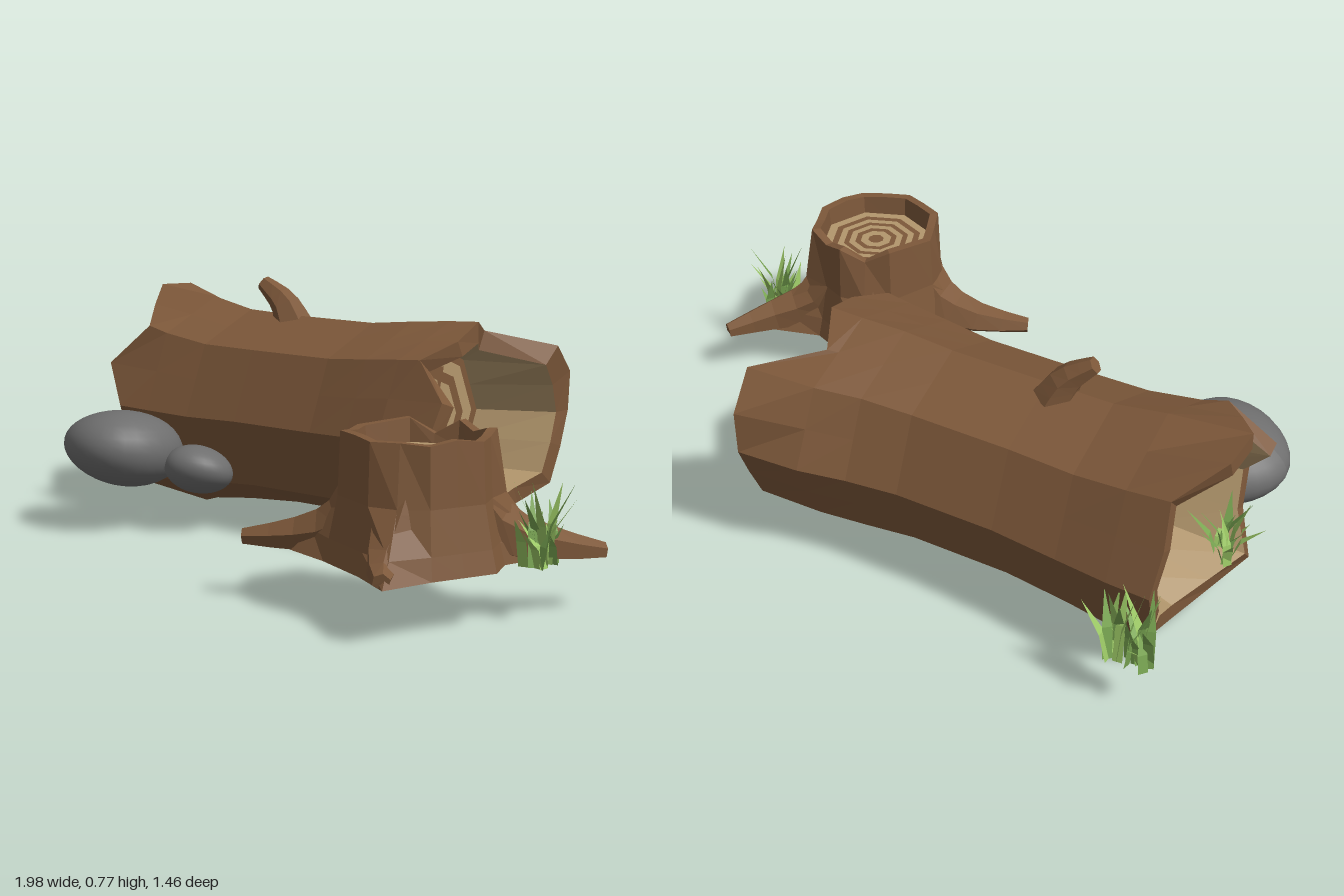
import * as THREE from 'three';
import { mergeGeometries } from 'three/addons/utils/BufferGeometryUtils.js';

const mat = (name, color, side = THREE.FrontSide) => {
  const m = new THREE.MeshStandardMaterial({ color, side });
  m.name = name;
  return m;
};

function flat(geo) {
  const g = geo.index ? geo.toNonIndexed() : geo;
  g.computeVertexNormals();
  return g;
}

// Skin a list of closed point loops
function loft(rows) {
  const n = rows[0].length, pos = [], index = [];
  rows.forEach(r => r.forEach(p => pos.push(...p)));
  for (let i = 0; i < rows.length - 1; i++) {
    for (let k = 0; k < n; k++) {
      const a = i * n + k, b = i * n + (k + 1) % n;
      index.push(a, b, a + n, b, b + n, a + n);
    }
  }
  const g = new THREE.BufferGeometry();
  g.setAttribute('position', new THREE.Float32BufferAttribute(pos, 3));
  g.setIndex(index);
  return flat(g);
}

// Eight-sided outline given as corners and edge midpoints
const octagon = Array.from({ length: 16 }, (_, k) => {
  const a = k * Math.PI / 8, r = k % 2 ? Math.cos(Math.PI / 8) : 1;
  return [Math.cos(a) * r, Math.sin(a) * r];
});

// Tapered bent limb with a blunt end, optionally flattened on the ground
function limb(points, r0, r1, floor = -1) {
  const curve = new THREE.CatmullRomCurve3(points.map(p => new THREE.Vector3(...p)));
  const segs = 6, sides = 6;
  const g = new THREE.TubeGeometry(curve, segs, 1, sides);
  const pos = g.attributes.position, v = new THREE.Vector3();
  for (let i = 0; i <= segs; i++) {
    const c = curve.getPointAt(i / segs), t = Math.min(1, i / (segs - 1));
    const centre = curve.getPointAt(t);
    const r = i === segs ? 0 : r0 + (r1 - r0) * t;
    for (let j = 0; j <= sides; j++) {
      const id = i * (sides + 1) + j;
      v.fromBufferAttribute(pos, id).sub(c).multiplyScalar(r).add(centre);
      pos.setXYZ(id, v.x, Math.max(v.y, floor), v.z);
    }
  }
  return flat(g);
}

export function createModel() {
  const model = new THREE.Group();
  const bark = mat('bark brown', 0x7d583a);
  const pale = mat('pale wood', 0xb3976d);
  const stone = mat('stone grey', 0x6e6e6e);
  const greens = [mat('light grass', 0x9ac664, THREE.DoubleSide), mat('mid grass', 0x7ba853, THREE.DoubleSide)];

  const add = (parent, name, geo, material) => {
    const m = new THREE.Mesh(geo, material);
    m.name = name;
    parent.add(m);
    return m;
  };
  const group = name => {
    const g = new THREE.Group();
    g.name = name;
    model.add(g);
    return g;
  };

  // Growth rings, alternating two colours outward to inward
  function growthRings(parent, name, radii, first, place) {
    radii.forEach((r, i) => {
      const g = new THREE.RingGeometry(radii[i + 1] ?? 0, r, 8, 1);
      place(add(parent, name, g, (i + first) % 2 ? pale : bark));
    });
  }

  // Fallen log: section = [x or list of x, centre y, centre z, radius y, radius z, bulges by column]
  const log = group('fallenLog');
  const section = ([x, cy, cz, ry, rz, bulge = {}], s = 1) => octagon.map(([c, d], k) => {
    const f = s * (bulge[k] ?? 1);
    return [Array.isArray(x) ? x[k] : x, cy + ry * f * c, cz + rz * f * d];
  });
  const leftEdge = [-1, -0.92, -0.83, -0.96, -0.87, -0.88, -0.93, -0.87, -0.81, -0.82, -0.85, -0.88, -0.89, -0.9, -0.89, -1];
  const rightEdge = [0.28, 0.3, 0.26, 0.38, 0.37, 0.34, 0.33, 0.31, 0.33, 0.34, 0.37, 0.37, 0.36, 0.37, 0.39, 0.21];
  const leftRim = [leftEdge, 0.36, -0.29, 0.355, 0.335, { 15: 1.15 }];
  const rightRim = [rightEdge, 0.385, -0.305, 0.3, 0.368, { 13: 1.15 }];
  const rightLip = section([rightEdge, 0.385, -0.305, 0.3, 0.368, { 13: 1.03, 14: 0.92, 15: 0.95, 0: 0.96 }], 0.82);
  const leftLip = section(leftRim, 0.86);
  const body = [
    [-0.76, 0.355, -0.29, 0.335, 0.325],
    [-0.6, 0.35, -0.285, 0.31, 0.31],
    [-0.4, 0.355, -0.28, 0.3, 0.3],
    [-0.1, 0.355, -0.28, 0.3, 0.3],
    [0.05, 0.36, -0.285, 0.31, 0.32],
    [0.18, 0.375, -0.3, 0.305, 0.35],
  ];
  add(log, 'logBark', loft([leftLip, section(leftRim),
    ...body.map(b => section(b)), section(rightRim), rightLip]), bark);
  add(log, 'leftHollow', loft([section([-0.68, 0.355, -0.29, 0.25, 0.25]), leftLip]), pale);
  add(log, 'rightHollow', loft([rightLip, section([0.1, 0.375, -0.3, 0.23, 0.245])]), pale);
  const logRings = [0.26, 0.215, 0.17, 0.135, 0.1, 0.08];
  growthRings(log, 'rightGrowthRing', logRings, 0, m => {
    m.rotation.y = Math.PI / 2;
    m.position.set(0.105, 0.378, -0.303);
    m.scale.y = 0.94;
  });
  growthRings(log, 'leftGrowthRing', logRings, 0, m => {
    m.rotation.y = -Math.PI / 2;
    m.position.set(-0.685, 0.355, -0.29);
  });
  // Dark split in the cut face
  const split = new THREE.Shape([[-0.025, 0.08], [0, 0], [0.022, 0.075]].map(p => new THREE.Vector2(...p)));
  const splitMesh = add(log, 'splitInWood', new THREE.ShapeGeometry(split), bark);
  splitMesh.rotation.y = Math.PI / 2;
  splitMesh.position.set(0.109, 0.455, -0.345);
  add(log, 'branchStub', limb([[-0.425, 0.62, -0.29], [-0.46, 0.69, -0.285], [-0.535, 0.752, -0.27]], 0.062, 0.024), bark);

  // Stump with a hollowed, chipped top and a foot flaring into each root
  const stump = group('stump');
  stump.position.set(0.61, 0, 0.42);
  const rootColumns = [2, 5, 9, 13];
  const ring = (y, r, flare = 0) => octagon.map(([c, s], k) => {
    const f = r + (rootColumns.includes(k) ? flare : 0);
    return [c * f, Array.isArray(y) ? y[k] : y, -s * f];
  });
  const chips = [0.49, 0.49, 0.5, 0.48, 0.5, 0.46, 0.5, 0.495, 0.49, 0.49, 0.5, 0.5, 0.495, 0.495, 0.49, 0.5];
  add(stump, 'stumpBark', loft([ring(0.155, 0), ring(0.155, 0.25, 0.13), ring(0.215, 0.235, 0.08), ring(0.33, 0.212, 0.02),
    ring(chips, 0.205), ring(chips, 0.178), ring(0.43, 0.172)]), bark);
  growthRings(stump, 'stumpGrowthRing', [0.178, 0.145, 0.125, 0.105, 0.088, 0.068, 0.05, 0.025], 1, m => {
    m.rotation.x = -Math.PI / 2;
    m.position.y = 0.435;
  });

  // Roots: tip x, tip z, tip y
  [[-0.475, 0.155, 0.175], [0.12, 0.31, 0.172], [0.35, -0.35, 0.165], [-0.155, -0.36, 0.175]].forEach(([x, z, y]) => {
    const d = Math.hypot(x, z), at = (r, h, bend = 0) => [x / d * r - z / d * bend, h, z / d * r + x / d * bend];
    add(stump, 'root', limb([at(0.13, 0.3), at(0.2, 0.23, 0.01),
      at(0.2 + (d - 0.2) * 0.45, 0.19, 0.02), at(d, y)], 0.1, 0.024, 0.153), bark);
  });

  // Rocks: egg-shaped, narrowing toward one side and raised toward the front
  const rocks = group('rocks');
  [[-0.745, 0.257, 0.17, 0.19, 0.118, 0.182, 0.16], [-0.505, 0.2, 0.065, 0.105, 0.076, 0.108, -0.1]].forEach(([x, y, z, rx, ry, rz, egg]) => {
    const g = new THREE.SphereGeometry(1, 28, 18), p = g.attributes.position;
    for (let i = 0; i < p.count; i++) {
      const s = 1 + egg * p.getX(i);
      p.setXYZ(i, p.getX(i) * rx, p.getY(i) * ry * s + p.getZ(i) * 0.02, p.getZ(i) * rz * s);
    }
    g.computeVertexNormals();
    add(rocks, 'rock', g, stone).position.set(x, y, z);
  });

  // Grass: curved tapering blades fanned around each tuft
  let seed = 7;
  const rnd = () => (seed = (seed * 16807) % 2147483647) / 2147483647;
  function blade(x, z, h, angle, lean) {
    const pos = [], index = [0, 1, 2, 1, 3, 2, 2, 3, 4];
    [0, 0.5, 1].forEach((t, i) => {
      const out = lean * t * t, cx = x + Math.cos(angle) * out, cz = z + Math.sin(angle) * out;
      const dx = -Math.sin(angle) * 0.014, dz = Math.cos(angle) * 0.014;
      if (i < 2) pos.push(cx - dx, h * t, cz - dz, cx + dx, h * t, cz + dz);
      else pos.push(cx, h, cz);
    });
    const g = new THREE.BufferGeometry();
    g.setAttribute('position', new THREE.Float32BufferAttribute(pos, 3));
    g.setIndex(index);
    return flat(g);
  }
  // Tufts: x, y, z, half width x, half width z, height, blades
  [[0.89, 0.15, 0.255, 0.03, 0.055, 0.245, 22], [-0.85, 0.15, -0.65, 0.06, 0.025, 0.245, 22],
    [-0.88, 0.13, -0.11, 0.025, 0.035, 0.2, 14]].forEach(([x, y, z, wx, wz, h, n]) => {
    const tuft = group('grassTuft');
    tuft.position.set(x, y, z);
    greens.forEach((green, c) => {
      const blades = [];
      for (let i = 0; i < n / 2; i++) {
        blades.push(blade((rnd() * 2 - 1) * wx, (rnd() * 2 - 1) * wz,
          h * (0.4 + 0.6 * rnd()), rnd() * Math.PI * 2, 0.03 + 0.06 * rnd()));
      }
      add(tuft, c ? 'midBlades' : 'lightBlades', mergeGeometries(blades), green);
    });
  });

  return model;
}
